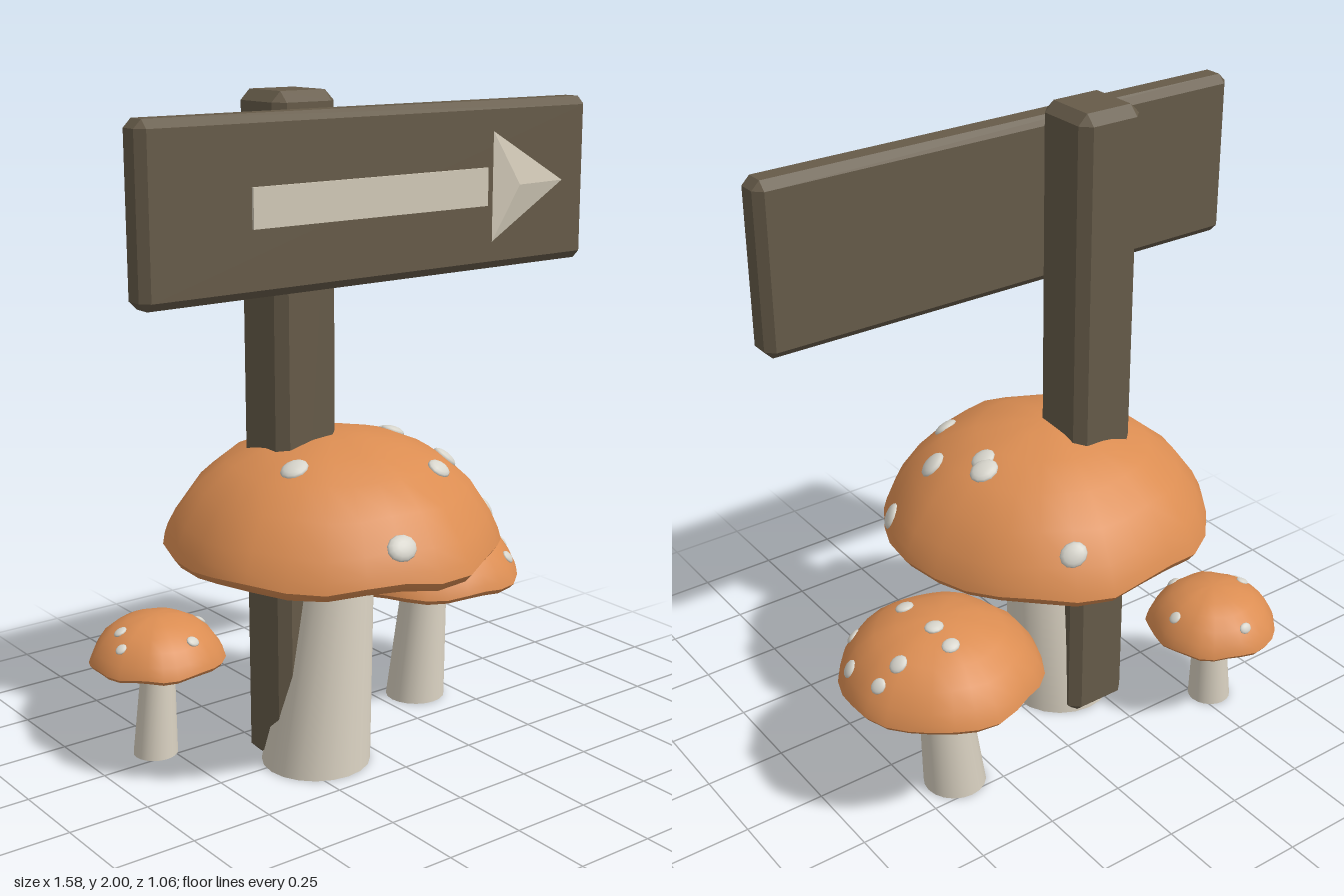
import * as THREE from 'three';
import { mergeVertices, toCreasedNormals } from 'three/addons/utils/BufferGeometryUtils.js';
import { ConvexGeometry } from 'three/addons/geometries/ConvexGeometry.js';

function makeMaterial(name, color) {
  const m = new THREE.MeshStandardMaterial({ color });
  m.name = name;
  return m;
}

function addMesh(parent, name, geometry, material) {
  const mesh = new THREE.Mesh(geometry, material);
  mesh.name = name;
  parent.add(mesh);
  return mesh;
}

// Box with every edge cut at 45 degrees
function chamferedBox(w, h, d, c) {
  const points = [];
  for (const sx of [-1, 1]) for (const sy of [-1, 1]) for (const sz of [-1, 1]) {
    const x = w / 2, y = h / 2, z = d / 2;
    points.push(
      new THREE.Vector3(sx * x, sy * (y - c), sz * (z - c)),
      new THREE.Vector3(sx * (x - c), sy * y, sz * (z - c)),
      new THREE.Vector3(sx * (x - c), sy * (y - c), sz * z));
  }
  return new ConvexGeometry(points);
}

// Tapered stem, sheared from its foot towards its head
function stemGeometry({ foot, head, footRadius, headRadius, height }) {
  const geo = new THREE.CylinderGeometry(headRadius, footRadius, height, 20, 1);
  geo.translate(0, height / 2, 0);
  const p = geo.attributes.position;
  for (let i = 0; i < p.count; i++) {
    const t = p.getY(i) / height;
    p.setX(i, p.getX(i) + foot[0] + (head[0] - foot[0]) * t);
    p.setZ(i, p.getZ(i) + foot[1] + (head[1] - foot[1]) * t);
  }
  return geo;
}

// Cap cross-section from underside to crown: radius and height as fractions
const CAP_PROFILE = [
  [0, 0.03], [0.4, 0.02], [0.82, 0.0], [0.96, 0.04], [1, 0.11], [0.98, 0.2], [0.93, 0.34],
  [0.81, 0.58], [0.63, 0.78], [0.42, 0.91], [0.2, 0.98], [0, 1],
].map(([r, y]) => new THREE.Vector2(r, y));

function capGeometry(radius, height, phase) {
  let geo = new THREE.LatheGeometry(CAP_PROFILE, 28);
  geo.deleteAttribute('uv');
  geo.deleteAttribute('normal');
  geo = mergeVertices(geo, 1e-4);
  const p = geo.attributes.position;
  for (let i = 0; i < p.count; i++) {
    const x = p.getX(i), y = p.getY(i), z = p.getZ(i);
    const r = Math.hypot(x, z), a = Math.atan2(z, x);
    // Uneven, wavy rim that fades out towards the crown
    const wave = 1 + r * (0.014 * Math.sin(5 * a + phase) + 0.012 * Math.sin(9 * a + 2 * phase));
    const lift = 0.03 * r * r * Math.sin(7 * a + phase + y * 3);
    p.setXYZ(i, x * wave * radius, (y + lift) * height, z * wave * radius);
  }
  return toCreasedNormals(geo, 0.75);
}

const MUSHROOMS = [
  {
    name: 'largeMushroom', phase: 0.6, capRadius: 0.5, capBase: 0.655, capTop: 1.02, centre: [-0.105, 0.025],
    stem: { foot: [-0.175, 0.03], head: [-0.1, 0.04], footRadius: 0.165, headRadius: 0.112, height: 0.69 },
    spotSize: 0.046,
    spots: [[0.09, -0.375], [0.165, -0.04], [0.14, 0], [0.22, 0.15], [-0.33, 0.15], [0.08, 0.29],
      [-0.2, 0.47], [0.335, 0.21]],
  },
  {
    name: 'mediumMushroom', phase: 2.1, capRadius: 0.302, capBase: 0.405, capTop: 0.62, centre: [0.415, -0.165],
    stem: { foot: [0.375, -0.167], head: [0.415, -0.165], footRadius: 0.096, headRadius: 0.07, height: 0.43 },
    spotSize: 0.03,
    spots: [[0.455, -0.285], [0.6, -0.235], [0.665, -0.23], [0.46, -0.05], [0.67, -0.08], [0.58, 0.05],
      [0.455, -0.2]],
  },
  {
    name: 'smallMushroom', phase: 4, capRadius: 0.205, capBase: 0.285, capTop: 0.44, centre: [-0.517, -0.318],
    stem: { foot: [-0.543, -0.3], head: [-0.515, -0.315], footRadius: 0.068, headRadius: 0.049, height: 0.31 },
    spotSize: 0.022,
    spots: [[-0.505, -0.485], [-0.64, -0.32], [-0.67, -0.265], [-0.48, -0.17], [-0.36, -0.32]],
  },
];

function buildMushroom(spec, mats) {
  const group = new THREE.Group();
  group.name = spec.name;
  addMesh(group, 'stem', stemGeometry(spec.stem), mats.stem);

  const cap = addMesh(group, 'cap', capGeometry(spec.capRadius, spec.capTop - spec.capBase, spec.phase), mats.cap);
  cap.position.set(spec.centre[0], spec.capBase, spec.centre[1]);
  cap.updateMatrixWorld(true);

  // Flattened spots dropped straight down onto the cap and laid along its surface
  const ray = new THREE.Raycaster();
  const up = new THREE.Vector3(0, 1, 0);
  const spotGeo = new THREE.SphereGeometry(1, 12, 8);
  spec.spots.forEach(([x, z], i) => {
    ray.set(new THREE.Vector3(x, 3, z), new THREE.Vector3(0, -1, 0));
    const hit = ray.intersectObject(cap)[0];
    if (!hit) return;
    const spot = addMesh(group, 'spot', spotGeo, mats.spot);
    const s = spec.spotSize * (0.92 + 0.08 * Math.sin(i * 2.3));
    spot.position.copy(hit.point);
    spot.quaternion.setFromUnitVectors(up, hit.face.normal);
    spot.scale.set(s, s * 0.4, s * 0.85);
  });
  return group;
}

function buildSign(mats) {
  const group = new THREE.Group();
  group.name = 'signpost';
  addMesh(group, 'post', chamferedBox(0.21, 2, 0.21, 0.03), mats.wood).position.set(-0.205, 1, -0.045);
  addMesh(group, 'board', chamferedBox(1.58, 0.495, 0.1, 0.024), mats.wood).position.set(0, 1.705, 0.087);

  // Arrow: flat bar and a shallow pyramid head
  addMesh(group, 'arrowShaft', new THREE.BoxGeometry(0.83, 0.112, 0.009), mats.arrow).position.set(-0.035, 1.705, 0.1405);
  const top = [0.405, 1.865, 0.137], bottom = [0.405, 1.54, 0.137], tip = [0.685, 1.705, 0.137];
  const peak = [0.495, 1.705, 0.157];
  const head = new THREE.BufferGeometry();
  head.setAttribute('position', new THREE.Float32BufferAttribute(
    [top, bottom, peak, bottom, tip, peak, tip, top, peak].flat(), 3));
  head.computeVertexNormals();
  addMesh(group, 'arrowHead', head, mats.arrow);
  return group;
}

export function createModel() {
  const mats = {
    wood: makeMaterial('darkWood', 0x665b49),
    arrow: makeMaterial('paleWood', 0xd2cab8),
    cap: makeMaterial('orangeCap', 0xdb8d52),
    stem: makeMaterial('creamStem', 0xd8d0c0),
    spot: makeMaterial('paleSpot', 0xd6d4cb),
  };
  const model = new THREE.Group();
  model.name = 'mushroomSignpost';
  model.add(buildSign(mats));
  for (const spec of MUSHROOMS) model.add(buildMushroom(spec, mats));
  return model;
}
